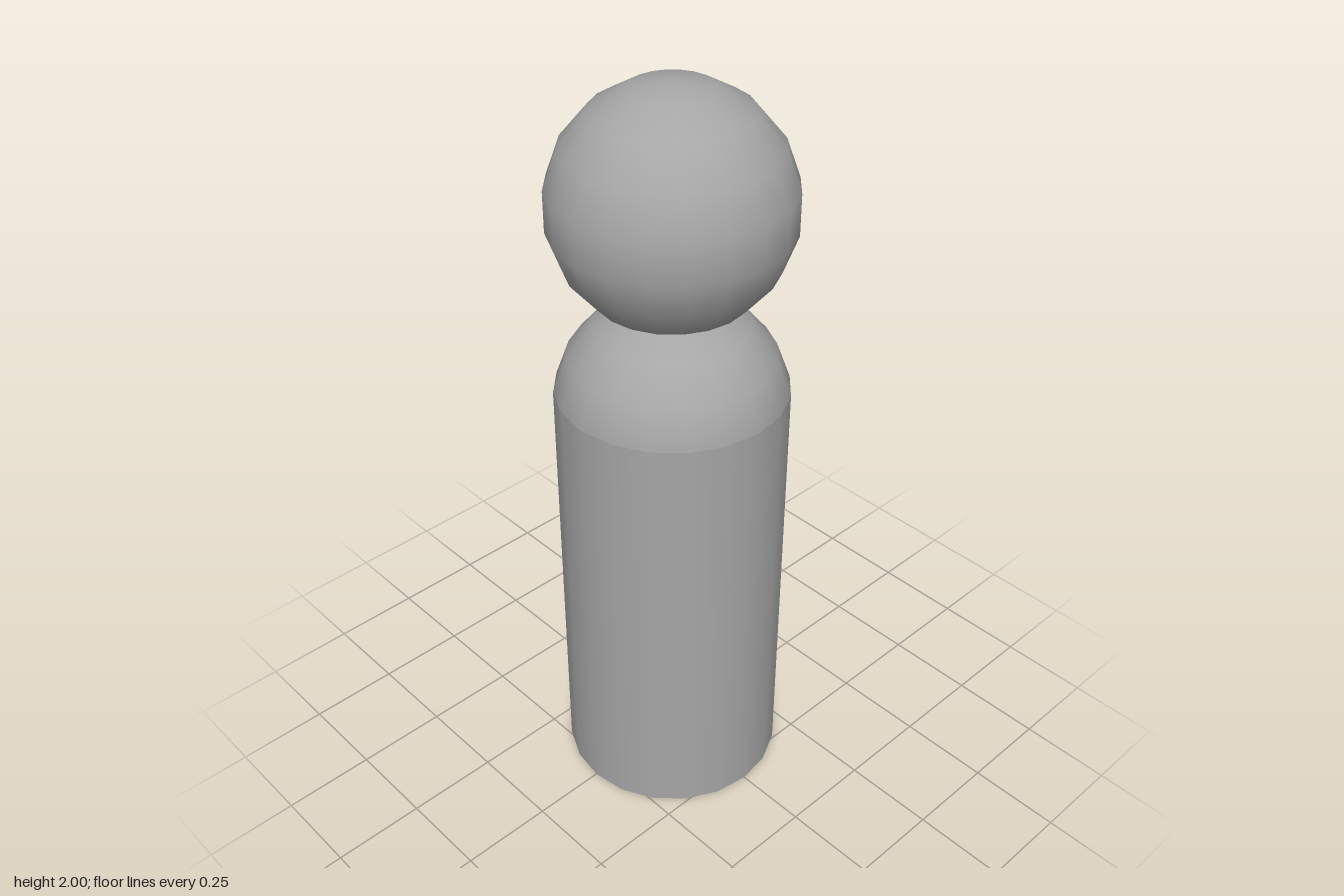
import * as THREE from 'three';

const SIDES = 20;
const RINGS = 9;
const BALL = 0.3046; // an odd ring count leaves a straight band of radius 0.3 at the middle
const RADIUS = 0.3;
const SHOULDER_Y = 1.2;

export function createModel() {
  const model = new THREE.Group();
  model.name = 'pegFigure';
  const grey = new THREE.MeshStandardMaterial({ color: 0xa6a6a6 });
  grey.name = 'plain grey';

  const add = (name, geometry, y) => {
    const mesh = new THREE.Mesh(geometry, grey);
    mesh.name = name;
    mesh.position.y = y;
    model.add(mesh);
  };

  // Straight body, closed at the foot and open under the shoulders
  add('body', new THREE.CylinderGeometry(RADIUS, RADIUS, SHOULDER_Y, SIDES, 1, true), SHOULDER_Y / 2);
  const base = new THREE.CircleGeometry(RADIUS, SIDES);
  base.rotateX(Math.PI / 2);
  add('base', base, 0);

  // Rounded shoulders: the upper rings of the same ball, down to the body's rim
  const capAngle = (4 / RINGS) * Math.PI;
  add('shoulders',
    new THREE.SphereGeometry(BALL, SIDES, 4, 0, Math.PI * 2, 0, capAngle),
    SHOULDER_Y - BALL * Math.cos(capAngle));

  // Ball head, sunk slightly into the shoulders
  add('head', new THREE.SphereGeometry(BALL, SIDES, RINGS), 2 - BALL);

  return model;
}
